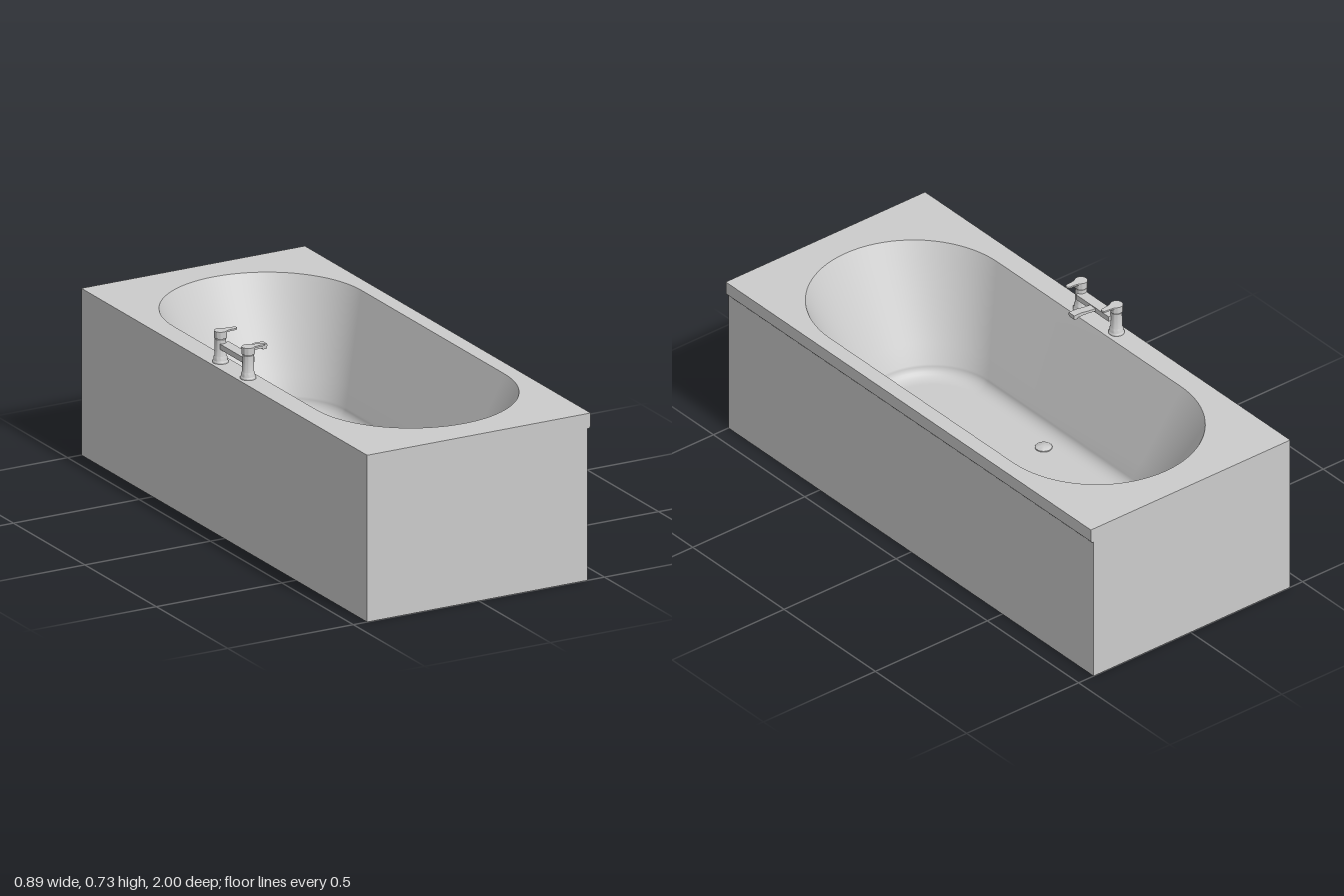
import * as THREE from 'three';
import { toCreasedNormals } from 'three/addons/utils/BufferGeometryUtils.js';

const TOP = 0.612, FLOOR = 0.19, HALF = 0.445;
const material = new THREE.MeshStandardMaterial({ color: 0xcccccc });
const thin = new THREE.MeshStandardMaterial({ color: 0xcccccc, side: THREE.DoubleSide });

function add(parent, name, geometry, x = 0, y = 0, z = 0, mat = material) {
  const mesh = new THREE.Mesh(geometry, mat);
  mesh.name = name;
  mesh.position.set(x, y, z);
  parent.add(mesh);
  return mesh;
}

// Rounded-ended outline as [x, z] points: arc radius r, arc centres at z = +-l
function stadium(r, l, cx, steps = 40) {
  const points = [];
  for (let end = 0; end < 2; end++) {
    for (let i = 0; i <= steps; i++) {
      const a = Math.PI * (end + i / steps);
      points.push([cx + r * Math.cos(a), r * Math.sin(a) + (end ? -l : l)]);
    }
  }
  return points;
}

// Skin over a stack of outlines, closed by a flat floor
function basinGeometry(sections) {
  const positions = [], index = [];
  let n = 0;
  for (const [r, l, y, cx] of sections) {
    const ring = stadium(r, l, cx);
    n = ring.length;
    ring.forEach(([x, z]) => positions.push(x, y, z));
  }
  for (let s = 0; s < sections.length - 1; s++) {
    for (let i = 0; i < n; i++) {
      const a = s * n + i, b = s * n + (i + 1) % n;
      index.push(a, b, a + n, b, b + n, a + n);
    }
  }
  const last = (sections.length - 1) * n, centre = positions.length / 3;
  positions.push(0.015, sections.at(-1)[2], 0);
  for (let i = 0; i < n; i++) index.push(last + i, last + (i + 1) % n, centre);
  const geometry = new THREE.BufferGeometry();
  geometry.setAttribute('position', new THREE.Float32BufferAttribute(positions, 3));
  geometry.setIndex(index);
  geometry.computeVertexNormals();
  return geometry;
}

// Box casing with an overhanging lip on one long side, left open on top
function casingGeometry() {
  const shape = new THREE.Shape([
    [-HALF, 0], [0.433, 0], [0.433, 0.557], [0.439, 0.557],
    [HALF, 0.564], [HALF, TOP], [-HALF, TOP],
  ].map(p => new THREE.Vector2(...p)));
  const solid = new THREE.ExtrudeGeometry(shape, { depth: 2, bevelEnabled: false }).translate(0, 0, -1);
  const p = solid.attributes.position, kept = [];
  for (let i = 0; i < p.count; i += 3) {
    if ([0, 1, 2].every(k => p.getY(i + k) > TOP - 0.001)) continue;
    for (let k = 0; k < 3; k++) kept.push(p.getX(i + k), p.getY(i + k), p.getZ(i + k));
  }
  const geometry = new THREE.BufferGeometry();
  geometry.setAttribute('position', new THREE.Float32BufferAttribute(kept, 3));
  geometry.computeVertexNormals();
  return geometry;
}

function lathe(points) {
  const g = new THREE.LatheGeometry(points.map(p => new THREE.Vector2(...p)), 32);
  return toCreasedNormals(g, 0.6);
}

function createTaps() {
  const taps = new THREE.Group();
  taps.name = 'taps';

  // Flared pillar with a cap on a narrow neck
  const pillar = lathe([
    [0, 0], [0.028, 0], [0.028, 0.005], [0.025, 0.009], [0.024, 0.02], [0.021, 0.025],
    [0.02, 0.086], [0.018, 0.088], [0.018, 0.09], [0.023, 0.09], [0.023, 0.116], [0, 0.116],
  ]);

  // Flat lever, waisted and round at the tip
  const leverShape = new THREE.Shape();
  leverShape.moveTo(0, -0.022);
  leverShape.quadraticCurveTo(0.02, -0.011, 0.054, -0.01);
  leverShape.absarc(0.055, 0, 0.01, -Math.PI / 2, Math.PI / 2, false);
  leverShape.quadraticCurveTo(0.02, 0.011, 0, 0.022);
  const lever = new THREE.ExtrudeGeometry(leverShape, { depth: 0.006, bevelEnabled: false, curveSegments: 12 });
  lever.rotateX(-Math.PI / 2);

  for (const z of [-0.097, 0.097]) {
    const name = z > 0 ? 'front' : 'back';
    add(taps, name + 'Pillar', pillar, -0.405, TOP, z);
    add(taps, name + 'Lever', lever, -0.405, 0.722, z);
  }

  // Bar joining the pillars
  add(taps, 'bridge', new THREE.BoxGeometry(0.04, 0.02, 0.18), -0.396, 0.674, 0);

  // Curved spout with a small nozzle below its tip
  const side = new THREE.Shape();
  side.moveTo(-0.39, 0.665);
  side.lineTo(-0.383, 0.667);
  side.quadraticCurveTo(-0.35, 0.677, -0.299, 0.677);
  side.lineTo(-0.298, 0.672);
  side.lineTo(-0.284, 0.672);
  side.quadraticCurveTo(-0.279, 0.68, -0.281, 0.69);
  side.lineTo(-0.315, 0.69);
  side.quadraticCurveTo(-0.35, 0.682, -0.39, 0.68);
  const spout = new THREE.ExtrudeGeometry(side, { depth: 0.03, bevelEnabled: false, curveSegments: 12 });
  add(taps, 'spout', toCreasedNormals(spout, 0.5), 0, 0, -0.018);
  return taps;
}

export function createModel() {
  const bath = new THREE.Group();
  bath.name = 'bath';
  add(bath, 'casing', casingGeometry());

  // Flat rim around the basin opening
  const rim = new THREE.Shape([[-HALF, -1], [HALF, -1], [HALF, 1], [-HALF, 1]].map(p => new THREE.Vector2(...p)));
  rim.holes.push(new THREE.Path(stadium(0.375, 0.502, 0.012).map(p => new THREE.Vector2(...p))));
  add(bath, 'rim', new THREE.ShapeGeometry(rim).rotateX(-Math.PI / 2), 0, TOP, 0);

  // Sloping wall, then a rounded turn into the floor
  const sections = [];
  for (let i = 0; i <= 6; i++) {
    const t = i / 6;
    sections.push([0.375 - 0.125 * t, 0.502 - 0.107 * t, TOP - (TOP - FLOOR - 0.045) * t, 0.012 + 0.003 * t]);
  }
  for (let i = 1; i <= 8; i++) {
    const a = (i / 8) * Math.PI / 2;
    sections.push([0.25 - 0.055 * (1 - Math.cos(a)), 0.395, FLOOR + 0.045 * (1 - Math.sin(a)), 0.015]);
  }
  sections.push([0.18, 0.395, FLOOR, 0.015]);
  add(bath, 'basin', basinGeometry(sections), 0, 0, 0, thin);

  // Low domed drain cover
  add(bath, 'drain', lathe([[0.03, 0], [0.03, 0.004], [0.026, 0.007], [0, 0.009]]), -0.155, FLOOR, -0.005);

  bath.add(createTaps());
  return bath;
}
